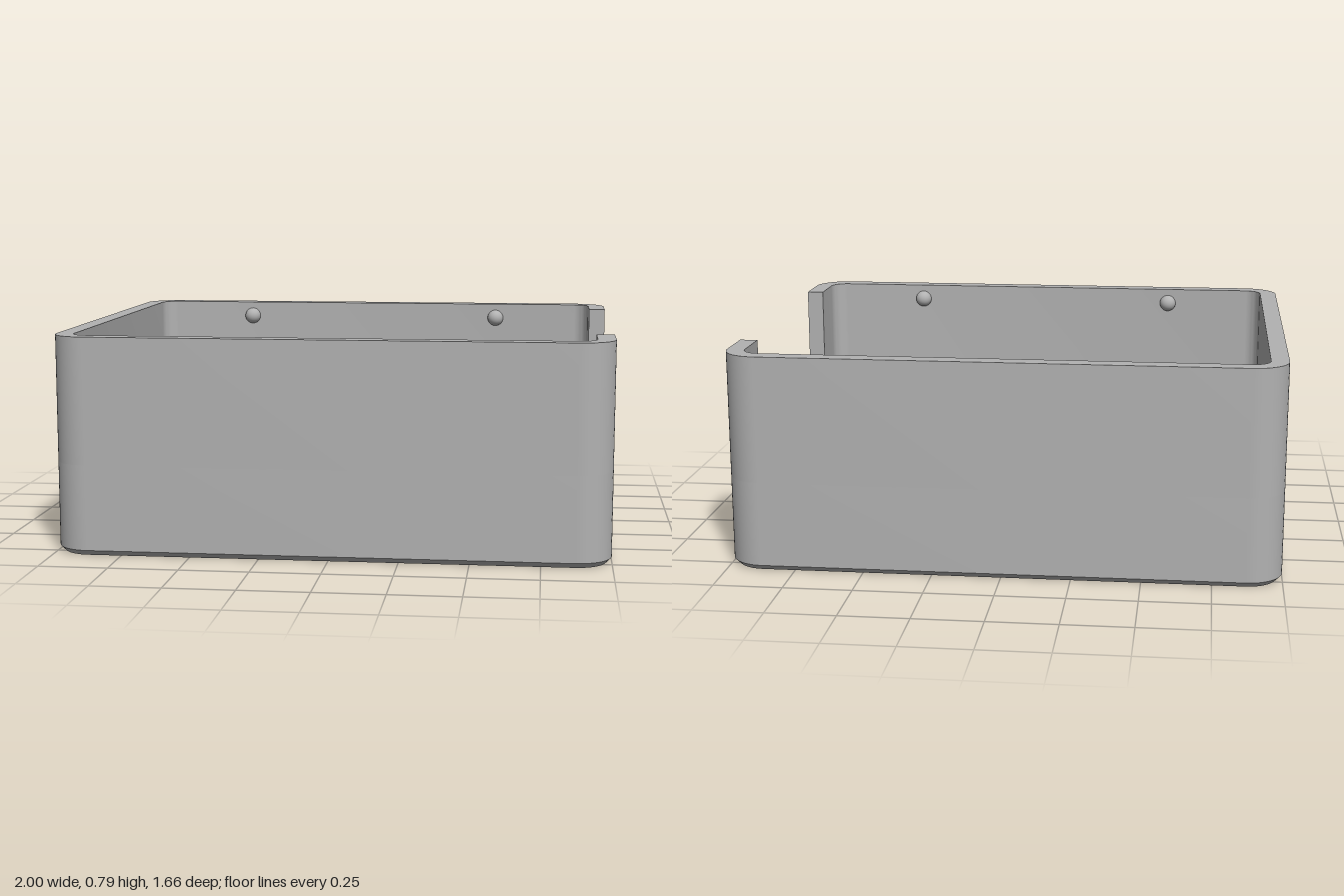
import * as THREE from 'three';
import { toCreasedNormals } from 'three/addons/utils/BufferGeometryUtils.js';

const W = 1, D = 0.83, H = 0.79;           // half width, half depth, height
const R = 0.13, WALL = 0.065, FLOOR = 0.065, CHAMFER = 0.02;
const NOTCH = 0.53, SILL = 0.33, FILLET = 0.07;

// Rounded rectangle outline, inset from the outer edge, starting on the +x side
function outline(inset, steps = 12) {
  const r = R - inset, points = [];
  const corners = [[1, 1], [-1, 1], [-1, -1], [1, -1]];
  corners.forEach(([sx, sy], q) => {
    for (let i = 0; i <= steps; i++) {
      const a = (q + i / steps) * Math.PI / 2;
      points.push(new THREE.Vector2(sx * (W - R) + r * Math.cos(a), sy * (D - R) + r * Math.sin(a)));
    }
  });
  return points;
}

// Upright extrusion of a plan shape between two heights
function slab(shape, y0, y1) {
  const g = new THREE.ExtrudeGeometry(shape, { depth: y1 - y0, bevelEnabled: false });
  g.rotateX(-Math.PI / 2).translate(0, y0, 0);
  return toCreasedNormals(g, 0.5);
}

// Sloping band around the bottom edge
function chamferBand() {
  const low = outline(CHAMFER), high = outline(0), n = low.length;
  const pos = [], index = [];
  for (let i = 0; i < n; i++) {
    pos.push(low[i].x, 0, -low[i].y, high[i].x, CHAMFER, -high[i].y);
    const a = 2 * i, b = 2 * ((i + 1) % n);
    index.push(a, b, b + 1, a, b + 1, a + 1);
  }
  const g = new THREE.BufferGeometry();
  g.setAttribute('position', new THREE.Float32BufferAttribute(pos, 3));
  g.setIndex(index);
  g.computeVertexNormals();
  return g;
}

export function createModel() {
  const model = new THREE.Group();
  model.name = 'enclosure';
  const grey = new THREE.MeshStandardMaterial({ name: 'grey plastic', color: 0xb2b2b2 });

  function add(name, geometry, x = 0, y = 0, z = 0) {
    const mesh = new THREE.Mesh(geometry, grey);
    mesh.name = name;
    mesh.position.set(x, y, z);
    model.add(mesh);
    return mesh;
  }

  // Floor and chamfered bottom edge
  add('floor', slab(new THREE.Shape(outline(CHAMFER)), 0, FLOOR));
  add('bottomChamfer', chamferBand());

  // Closed wall up to the sill
  const ring = new THREE.Shape(outline(0));
  ring.holes.push(new THREE.Path(outline(WALL).reverse()));
  add('lowerWall', slab(ring, CHAMFER, SILL));

  // Upper wall, open on the +x side
  const v = (x, y) => new THREE.Vector2(x, y);
  const open = new THREE.Shape([
    v(W, NOTCH), ...outline(0), v(W, -NOTCH),
    v(W - WALL, -NOTCH), ...outline(WALL).reverse(), v(W - WALL, NOTCH),
  ]);
  add('upperWall', slab(open, SILL, H));

  // Rounded lower corners of the opening
  const corner = new THREE.Shape();
  corner.moveTo(0, 0);
  corner.lineTo(FILLET, 0);
  corner.absarc(FILLET, FILLET, FILLET, -Math.PI / 2, -Math.PI, true);
  corner.lineTo(0, 0);
  const cornerGeo = toCreasedNormals(
    new THREE.ExtrudeGeometry(corner, { depth: WALL, bevelEnabled: false, curveSegments: 12 }), 0.5);
  add('backNotchFillet', cornerGeo, W, SILL, -NOTCH).rotation.y = -Math.PI / 2;
  add('frontNotchFillet', cornerGeo, W - WALL, SILL, NOTCH).rotation.y = Math.PI / 2;

  // Support blocks at the back
  const blockH = 0.2 - FLOOR;
  add('smallBlock', new THREE.BoxGeometry(0.16, blockH, 0.12), -0.66, FLOOR + blockH / 2, -0.53);
  add('longBlock', new THREE.BoxGeometry(0.39, blockH, 0.12), 0.405, FLOOR + blockH / 2, -0.53);

  // Stepped posts with round-edged pins at the front
  const profile = [v(0.145, FLOOR), v(0.145, 0.2), v(0.06, 0.2), v(0.06, 0.395)];
  for (let i = 1; i <= 6; i++) {
    const a = i / 6 * Math.PI / 2;
    profile.push(v(0.025 + 0.035 * Math.cos(a), 0.395 + 0.035 * Math.sin(a)));
  }
  profile.push(v(0, 0.43));
  const postGeo = toCreasedNormals(new THREE.LatheGeometry(profile, 40), 0.5);
  for (const x of [-0.51, 0.47]) add('post', postGeo, x, 0, 0.53);

  // Snap bumps on the inner faces of the front and back walls
  const bumpGeo = new THREE.SphereGeometry(0.034, 20, 14);
  for (const x of [-0.54, 0.535])
    for (const side of [-1, 1]) add('snapBump', bumpGeo, x, 0.73, side * (D - WALL));

  return model;
}
